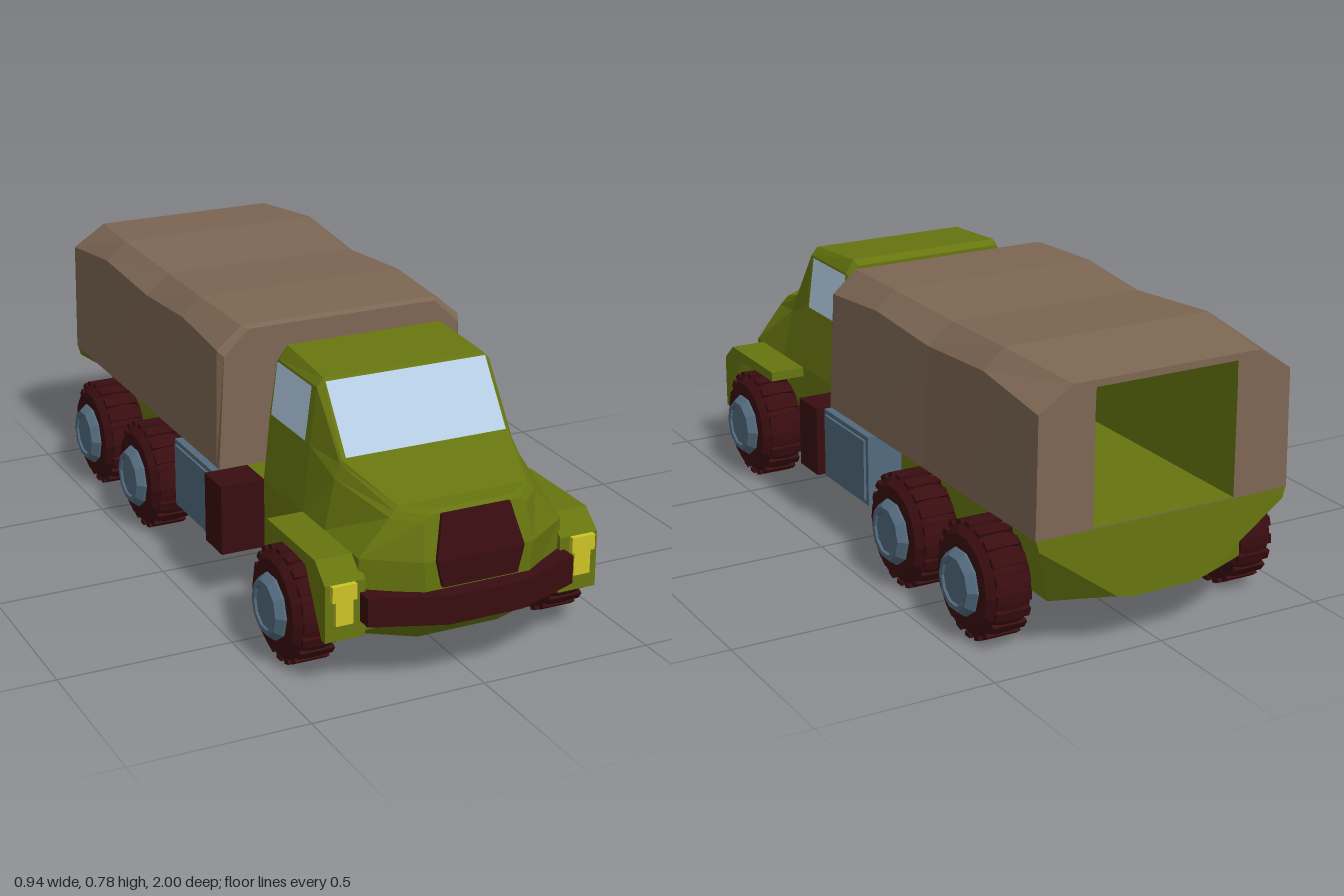
import * as THREE from 'three';

const mat = (name, color) => {
  const m = new THREE.MeshStandardMaterial({ color });
  m.name = name;
  return m;
};

// Mirror right-side points (bottom to top) into a full ring.
const ring = (pts, z) => {
  const r = pts.map(p => [p[0], p[1], p[2] ?? z]);
  return r.concat(r.map(p => [-p[0], p[1], p[2]]).reverse());
};

// Skin mirrored rings listed front to back, with optional flat-strip end caps.
function loft(rings, capFront = true, capBack = true) {
  const v = [], n = rings[0].length;
  const quad = (a, b, c, d) => v.push(...a, ...b, ...c, ...a, ...c, ...d);
  for (let i = 0; i + 1 < rings.length; i++)
    for (let j = 0; j < n; j++) {
      const k = (j + 1) % n, A = rings[i], B = rings[i + 1];
      quad(A[j], B[j], B[k], A[k]);
    }
  const first = rings[0], last = rings[rings.length - 1];
  for (let k = 0; k + 1 < n / 2; k++) {
    if (capFront) quad(first[k], first[k + 1], first[n - 2 - k], first[n - 1 - k]);
    if (capBack) quad(last[n - 1 - k], last[n - 2 - k], last[k + 1], last[k]);
  }
  const g = new THREE.BufferGeometry();
  g.setAttribute('position', new THREE.Float32BufferAttribute(v, 3));
  g.computeVertexNormals();
  return g;
}

const extrude = (pts, depth) => new THREE.ExtrudeGeometry(
  new THREE.Shape(pts.map(p => new THREE.Vector2(...p))), { depth, bevelEnabled: false });

// Faceted lathe whose axis lies along x.
function wheelLathe(profile, sides) {
  const g = new THREE.LatheGeometry(profile.map(p => new THREE.Vector2(...p)), sides)
    .rotateZ(-Math.PI / 2).toNonIndexed();
  g.computeVertexNormals();
  return g;
}

export function createModel() {
  const olive = mat('olive paint', 0x66750f), brown = mat('brown canvas', 0x7d6653);
  const maroon = mat('dark maroon', 0x390d10), steel = mat('blue steel', 0x526a7d);
  const yellow = mat('yellow lamp', 0xcdc426), glass = mat('pale glass', 0xb4cce3);
  glass.side = THREE.DoubleSide;

  const truck = new THREE.Group();
  truck.name = 'truck';
  const add = (name, geo, material, parent = truck) => {
    const m = new THREE.Mesh(geo, material);
    m.name = name;
    parent.add(m);
    return m;
  };
  const box = (name, x, y, z, w, h, d, material, parent) =>
    add(name, new THREE.BoxGeometry(w, h, d).translate(x, y, z), material, parent);

  // Cab with sloping bonnet and shallow V-shaped belly
  add('cab', loft([
    ring([[.10, .17, .93], [.15, .22, .95], [.16, .36, .955], [.15, .46, .928], [.135, .475, .924], [.12, .485, .915]]),
    ring([[.12, .095, .85], [.30, .15, .86], [.30, .36, .86], [.215, .46, .865], [.20, .475, .865], [.19, .487, .86]]),
    ring([[.12, .095], [.30, .15], [.30, .36], [.27, .50], [.255, .54], [.25, .55]], .66),
    ring([[.12, .095], [.30, .15], [.30, .36], [.28, .55], [.26, .71], [.24, .733]], .53),
    ring([[.12, .14], [.30, .15], [.30, .36], [.28, .55], [.26, .71], [.235, .75]], .295),
    ring([[.12, .145], [.30, .15], [.30, .36], [.28, .55], [.257, .70], [.23, .735]], .275),
  ]), olive);

  // Load bed with flared rim and chamfered tail corners
  const bed = [[.12, .15], [.30, .15], [.30, .335], [.38, .362]];
  add('loadBed', loft([
    ring([[.12, .15], [.30, .15], [.30, .335], [.30, .36]], .29),
    ring([[.12, .15], [.30, .15], [.30, .335], [.30, .36]], .16),
    ring(bed, .15), ring(bed, -.92),
    ring([[.10, .15], [.14, .16], [.375, .33], [.383, .36]], -1),
  ]), olive);

  // Canvas canopy: [z, half width, shoulder height, roof half width, roof height]
  const canopy = [
    [.16, .365, .69, .29, .762], [.14, .378, .705, .305, .768], [-.12, .372, .723, .315, .776],
    [-.41, .368, .703, .295, .761], [-.72, .376, .725, .315, .779], [-1, .38, .692, .28, .757],
  ].map(([z, w, s, t, top]) => ring([[.385, .36], [w, s], [t, top]], z));
  const opening = [[.215, .363], [.215, .69], [.213, .738]];
  add('canopy', loft([...canopy, ring(opening, -1)], true, false), brown);
  add('canopyLining', loft([ring(opening, -1), ring(opening, .1)].map((r, i) =>
    r.map(p => [p[0], p[1], i ? .1 : -1])), false, false), olive);
  box('liningFront', 0, .55, .105, .44, .38, .01, olive);

  // Cross box behind the cab
  box('crossBox', 0, .257, .218, .86, .205, .115, maroon);

  // Grille and wrap-around bumper
  add('grille', loft([
    ring([[.11, .285, .966], [.128, .36, .966], [.10, .475, .934]]),
    ring([[.11, .285, .92], [.128, .36, .92], [.10, .475, .90]]),
  ]), maroon);
  add('bumper', extrude([[-.305, .925], [-.305, .86], [.305, .86], [.305, .925], [.11, 1], [-.11, 1]], .08)
    .rotateX(Math.PI / 2).translate(0, .275, 0), maroon);

  // Windscreen
  const pane = pts => {
    const g = new THREE.BufferGeometry();
    g.setAttribute('position', new THREE.Float32BufferAttribute(
      [0, 1, 2, 0, 2, 3].flatMap(i => pts[i]), 3));
    g.computeVertexNormals();
    return g;
  };
  add('windscreen', pane([[-.24, .555, .664], [.24, .555, .664], [.24, .727, .542], [-.24, .727, .542]]), glass);

  // Wheel geometry shared by all six wheels
  const tyre = wheelLathe([[.02, -.067], [.13, -.067], [.152, -.045], [.158, -.02],
    [.158, .02], [.152, .045], [.13, .067], [.085, .067]], 14);
  const hub = wheelLathe([[.095, .05], [.092, .073], [.076, .093], [.062, .093], [.058, .087], [0, .087]], 10);
  const rib = new THREE.BoxGeometry(.10, .012, .026);

  for (const s of [1, -1]) {
    const side = s > 0 ? 'left' : 'right';
    // Front mudguard
    add(side + 'Mudguard', extrude([[.525, .332], [.70, .332], [.765, .325], [.86, .15], [.88, .15],
      [.88, .31], [.82, .36], [.525, .36]], .115)
      .rotateY(-Math.PI / 2).scale(-1, 1, 1).rotateY(0), olive).geometry.scale(1, 1, 1);
    const guard = truck.children[truck.children.length - 1];
    // Extrusion runs along x; wind the faces outward after the mirror
    guard.geometry.dispose();
    const g = extrude([[-.525, .332], [-.525, .36], [-.82, .36], [-.88, .31], [-.88, .15],
      [-.86, .15], [-.765, .325], [-.70, .332]], .115).rotateY(Math.PI / 2);
    guard.geometry = g.translate(s > 0 ? .29 : -.405, 0, 0);

    // Stepped headlamp
    box(side + 'LampTop', s * .355, .288, .88, .07, .044, .03, yellow);
    box(side + 'LampBody', s * .354, .24, .877, .05, .085, .03, yellow);
    box(side + 'LampBase', s * .354, .206, .88, .04, .014, .022, yellow);

    // Side window
    add(side + 'Window', pane([[s * .284, .555, .508], [s * .284, .555, .292],
      [s * .264, .706, .292], [s * .264, .706, .508]]), glass);

    // Side fuel tank with raised outer panel
    box(side + 'Tank', s * .35, .254, .02, .11, .206, .28, steel);
    box(side + 'TankPanel', s * .405, .254, .02, .014, .18, .25, steel);

    // Wheels: one front axle, two rear axles
    for (const z of [.645, -.345, -.73]) {
      const wheel = new THREE.Group();
      wheel.name = side + 'Wheel';
      wheel.position.set(s * .378, .163, z);
      wheel.rotation.y = s > 0 ? 0 : Math.PI;
      add('tyre', tyre, maroon, wheel);
      add('hub', hub, steel, wheel);
      for (let i = 0; i < 20; i++) {
        const a = i / 20 * Math.PI * 2;
        const t = add('treadBlock', rib, maroon, wheel);
        t.position.set(0, Math.cos(a) * .155, Math.sin(a) * .155);
        t.rotation.x = a;
      }
      truck.add(wheel);
    }
  }
  return truck;
}
